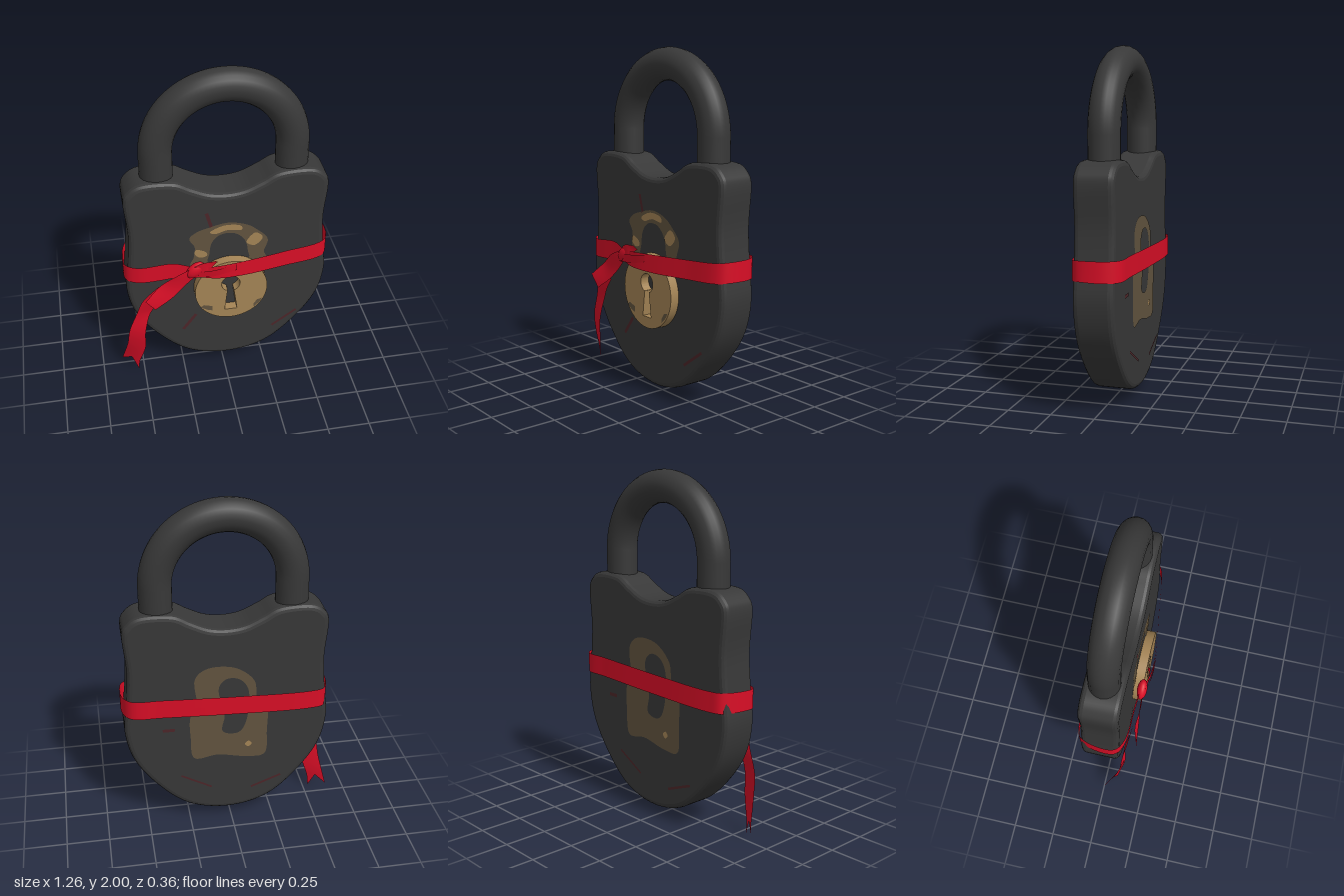
import * as THREE from 'three';
import { toCreasedNormals } from 'three/addons/utils/BufferGeometryUtils.js';

const CX = 0.022, FRONT = 0.085, BACK = -0.14, MID = -0.03;

const mat = (name, color, side = THREE.FrontSide) => {
  const m = new THREE.MeshStandardMaterial({ color, side });
  m.name = name;
  return m;
};

const v2 = (pts) => pts.map(([x, y]) => new THREE.Vector2(x, y));

// Closed smooth outline through a few points
function smooth(pts, n = 60, tension = 0.5) {
  const c = new THREE.CatmullRomCurve3(pts.map(([x, y]) => new THREE.Vector3(x, y, 0)), true, 'catmullrom', tension);
  return c.getPoints(n).slice(0, -1).map((p) => new THREE.Vector2(p.x, p.y));
}

// Cloth strip lofted along rows of [x, y, z, half-width vector x, y, z]; fork adds a notched end
function ribbonGeometry(rows, segments, fork) {
  const curve = (s) => new THREE.CatmullRomCurve3(
    rows.map(([x, y, z, a = 0, b = 0, c = 0]) => new THREE.Vector3(x + s * a, y + s * b, z + s * c)));
  const edges = [curve(1), curve(0), curve(-1)];
  const pos = [], idx = [];
  for (let i = 0; i <= segments; i++) {
    for (const e of edges) pos.push(...e.getPoint(i / segments).toArray());
    if (i < segments) {
      for (let j = 0; j < 2; j++) {
        const a = i * 3 + j;
        idx.push(a, a + 3, a + 1, a + 1, a + 3, a + 4);
      }
    }
  }
  if (fork) {
    const a = segments * 3;
    pos.push(...fork[0], ...fork[1]);
    idx.push(a, a + 3, a + 1, a + 1, a + 4, a + 2);
  }
  const g = new THREE.BufferGeometry();
  g.setAttribute('position', new THREE.Float32BufferAttribute(pos, 3));
  g.setIndex(idx);
  g.computeVertexNormals();
  return g;
}

export function createModel() {
  const root = new THREE.Group();
  root.name = 'padlock';
  const iron = mat('dark iron', 0x383838);
  const brass = mat('brass', 0xa58556);
  const dullBrass = mat('tarnished brass', 0x62543f);
  const red = mat('red ribbon', 0xd80e26, THREE.DoubleSide);
  const rust = mat('dark red scratch', 0x4c2629);

  const add = (name, geometry, material, parent = root) => {
    const m = new THREE.Mesh(geometry, material);
    m.name = name;
    parent.add(m);
    return m;
  };

  // Body: mirrored outline, extruded with a soft bevel
  const half = [[0.17, 0.082], [0.31, 0.16], [0.46, 0.32], [0.555, 0.48], [0.593, 0.66], [0.577, 0.83],
    [0.562, 1.05], [0.578, 1.27], [0.55, 1.345], [0.47, 1.39], [0.3, 1.385], [0.2, 1.335], [0.1, 1.29]];
  const outline = [[0, 0.055], ...half, [0, 1.277], ...half.map(([x, y]) => [-x, y]).reverse()]
    .map(([x, y]) => [x + CX, y]);
  const bevel = 0.03;
  const bodyGeo = new THREE.ExtrudeGeometry(new THREE.Shape(smooth(outline, 168)), {
    depth: FRONT - BACK - 2 * bevel, bevelEnabled: true, bevelThickness: bevel,
    bevelSize: bevel, bevelOffset: -bevel, bevelSegments: 3,
  });
  bodyGeo.translate(0, 0, BACK + bevel);
  add('body', toCreasedNormals(bodyGeo, 0.22), iron);

  // Shackle: half ring on two straight legs
  const shackle = new THREE.Group();
  shackle.name = 'shackle';
  shackle.position.set(CX, 1.527, MID);
  shackle.scale.z = 0.95;
  root.add(shackle);
  add('shackleArch', new THREE.TorusGeometry(0.38, 0.093, 20, 48, Math.PI), iron, shackle);
  for (const s of [-1, 1]) {
    add('shackleLeg', new THREE.CylinderGeometry(0.093, 0.093, 0.23, 20, 1, true), iron, shackle)
      .position.set(s * 0.38, -0.115, 0);
  }

  // Raised keyhole cover with a cut-through keyhole
  const kx = 0.035, ky = 0.63;
  const cover = new THREE.Shape();
  cover.absarc(kx, ky, 0.215, 0, Math.PI * 2);
  const keyhole = new THREE.Path();
  keyhole.moveTo(-0.005, 0.48);
  keyhole.lineTo(0.013, 0.63);
  keyhole.absarc(0.032, 0.678, 0.055, Math.PI * 1.39, -Math.PI * 0.39, true);
  keyhole.lineTo(0.051, 0.63);
  keyhole.lineTo(0.07, 0.48);
  cover.holes.push(keyhole);
  const coverGeo = new THREE.ExtrudeGeometry(cover, { depth: 0.055, bevelEnabled: false, curveSegments: 32 });
  coverGeo.translate(0, 0, FRONT);
  add('keyholeCover', toCreasedNormals(coverGeo, 0.4), brass);

  // Flat painted details, on the front or the back face
  function paint(name, pts, material, z, hole) {
    const s = z < 0 ? -1 : 1;
    const flip = (list) => list.map((p) => new THREE.Vector2(p.x * s, p.y));
    const shape = new THREE.Shape(flip(pts));
    if (hole) shape.holes.push(new THREE.Path(flip(hole)));
    const g = new THREE.ShapeGeometry(shape);
    if (s < 0) g.rotateY(Math.PI);
    g.translate(0, 0, z);
    add(name, g, material);
  }
  const zf = FRONT + 0.003, zb = BACK - 0.003;

  // Front emblem: tarnished arch with worn bright spots
  paint('frontEmblemArch', smooth([[-0.17, 0.78], [-0.175, 0.87], [-0.17, 0.94], [-0.2, 1.0], [-0.165, 1.04],
    [-0.1, 1.065], [0.02, 1.09], [0.125, 1.065], [0.19, 1.02], [0.255, 0.945], [0.235, 0.86], [0.22, 0.78]]),
  dullBrass, zf, smooth([[-0.08, 0.81], [-0.085, 0.88], [-0.07, 0.96], [-0.02, 1.01], [0.06, 1.01],
    [0.12, 0.955], [0.14, 0.87], [0.13, 0.81]], 40));
  const spots = [
    [[-0.08, 1.04], [0.0, 1.075], [0.09, 1.065], [0.1, 1.03], [0.02, 1.04], [-0.05, 1.02]],
    [[0.13, 0.94], [0.18, 1.0], [0.225, 0.96], [0.18, 0.91]],
    [[-0.17, 0.89], [-0.16, 0.92], [-0.11, 0.9], [-0.1, 0.87], [-0.14, 0.86]],
  ];
  spots.forEach((p) => paint('brightSpot', smooth(p, 24), brass, zf + 0.003));
  [[[-0.15, 0.52], [-0.13, 0.535], [-0.08, 0.52], [-0.08, 0.485], [-0.11, 0.495]],
    [[0.17, 0.5], [0.17, 0.475], [0.21, 0.515], [0.222, 0.54], [0.19, 0.53]],
  ].forEach((p) => paint('tarnishSpot', v2(p), dullBrass, 0.142));

  // Back emblem: padlock silhouette with a tall slot
  paint('backEmblem', smooth([[0.22, 0.45], [0.24, 0.6], [0.24, 0.73], [0.2, 0.82], [0.21, 0.98], [0.13, 1.05],
    [-0.02, 1.04], [-0.13, 0.95], [-0.15, 0.83], [-0.21, 0.77], [-0.21, 0.6], [-0.2, 0.44], [-0.08, 0.43],
    [0.08, 0.46]], 90), dullBrass, zb, smooth([[0.055, 0.63], [0.04, 0.74], [0.075, 0.9], [0.03, 0.97],
    [-0.05, 0.96], [-0.1, 0.88], [-0.095, 0.72], [-0.06, 0.62], [0, 0.6]], 50));
  paint('backSpot', smooth([[-0.1, 0.54], [-0.08, 0.52], [-0.1, 0.5], [-0.12, 0.52]], 16), brass, zb - 0.003);

  // Faint scratches: start, end, width, face
  [[-0.1, 1.17, -0.07, 1.06, 0.02, zf], [-0.25, 0.31, -0.17, 0.42, 0.02, zf], [0.3, 0.25, 0.45, 0.36, 0.016, zf],
    [0.3, 0.56 - 0.23, 0.12, 0.23, 0.012, zb], [-0.12, 0.2, -0.3, 0.27, 0.014, zb], [0.4, 0.66, 0.33, 0.66, 0.02, zb],
  ].forEach(([x0, y0, x1, y1, w, z]) => {
    const d = new THREE.Vector2(x1 - x0, y1 - y0).normalize().multiplyScalar(w / 2);
    paint('scratch', v2([[x0 - d.y, y0 + d.x], [x0 + d.y, y0 - d.x], [x1 + d.y, y1 - d.x], [x1 - d.y, y1 + d.x]]), rust, z);
  });

  // Ribbon band wrapped round the body, meeting at the knot
  const band = [[-0.2, 0.8, 0.135, 0.03], [-0.06, 0.805, 0.172, 0.045], [0.1, 0.807, 0.165, 0.052],
    [0.35, 0.815, 0.13, 0.054], [0.57, 0.825, 0.094, 0.056], [0.615, 0.83, 0.05, 0.056], [0.62, 0.83, -0.09, 0.058],
    [0.57, 0.83, -0.163, 0.058], [0.4, 0.83, -0.177, 0.058], [0, 0.815, -0.18, 0.058], [-0.45, 0.8, -0.168, 0.058],
    [-0.54, 0.8, -0.145, 0.058], [-0.58, 0.797, -0.02, 0.056], [-0.568, 0.795, 0.07, 0.056],
    [-0.5, 0.795, 0.11, 0.055], [-0.3, 0.81, 0.122, 0.054], [-0.2, 0.805, 0.13, 0.03]]
    .map(([x, y, z, h]) => [x, y, z, 0, h, 0]);
  add('ribbonBand', ribbonGeometry(band, 128), red);

  // Knot, short ends and the long forked tail
  const knot = add('ribbonKnot', new THREE.SphereGeometry(1, 16, 10), red);
  knot.scale.set(0.065, 0.04, 0.03);
  knot.position.set(-0.175, 0.815, 0.14);
  knot.rotation.z = 0.75;
  add('ribbonFold', ribbonGeometry([[-0.2, 0.8, 0.15, -0.015, 0.025, 0], [-0.13, 0.845, 0.165, -0.015, 0.03, 0],
    [-0.055, 0.872, 0.155, -0.008, 0.012, 0.01]], 12), red);
  add('ribbonCrease', ribbonGeometry([[-0.2, 0.79, 0.155, 0, 0.02, 0], [-0.08, 0.805, 0.178, 0, 0.025, 0.004],
    [0.06, 0.83, 0.176, 0, 0.02, 0]], 12), red);
  add('ribbonShortTail', ribbonGeometry([[-0.18, 0.81, 0.15, -0.015, 0.025, 0], [-0.26, 0.755, 0.15, -0.028, 0.04, 0.006],
    [-0.35, 0.68, 0.15, -0.032, 0.046, -0.006], [-0.447, 0.605, 0.17, -0.028, 0.038, 0.004]], 20), red);
  add('ribbonLongTail', ribbonGeometry([[-0.36, 0.67, 0.13, -0.03, 0.04, 0], [-0.44, 0.58, 0.115, -0.045, 0.02, 0],
    [-0.485, 0.49, 0.1, -0.042, 0, 0], [-0.528, 0.35, 0.1, -0.047, 0.005, -0.01], [-0.54, 0.22, 0.085, -0.052, 0.008, -0.02],
    [-0.573, 0.09, 0.05, -0.045, 0.012, -0.03]], 32, [[-0.63, 0.05, 0.005], [-0.535, 0, 0.072]]), red);

  return root;
}
